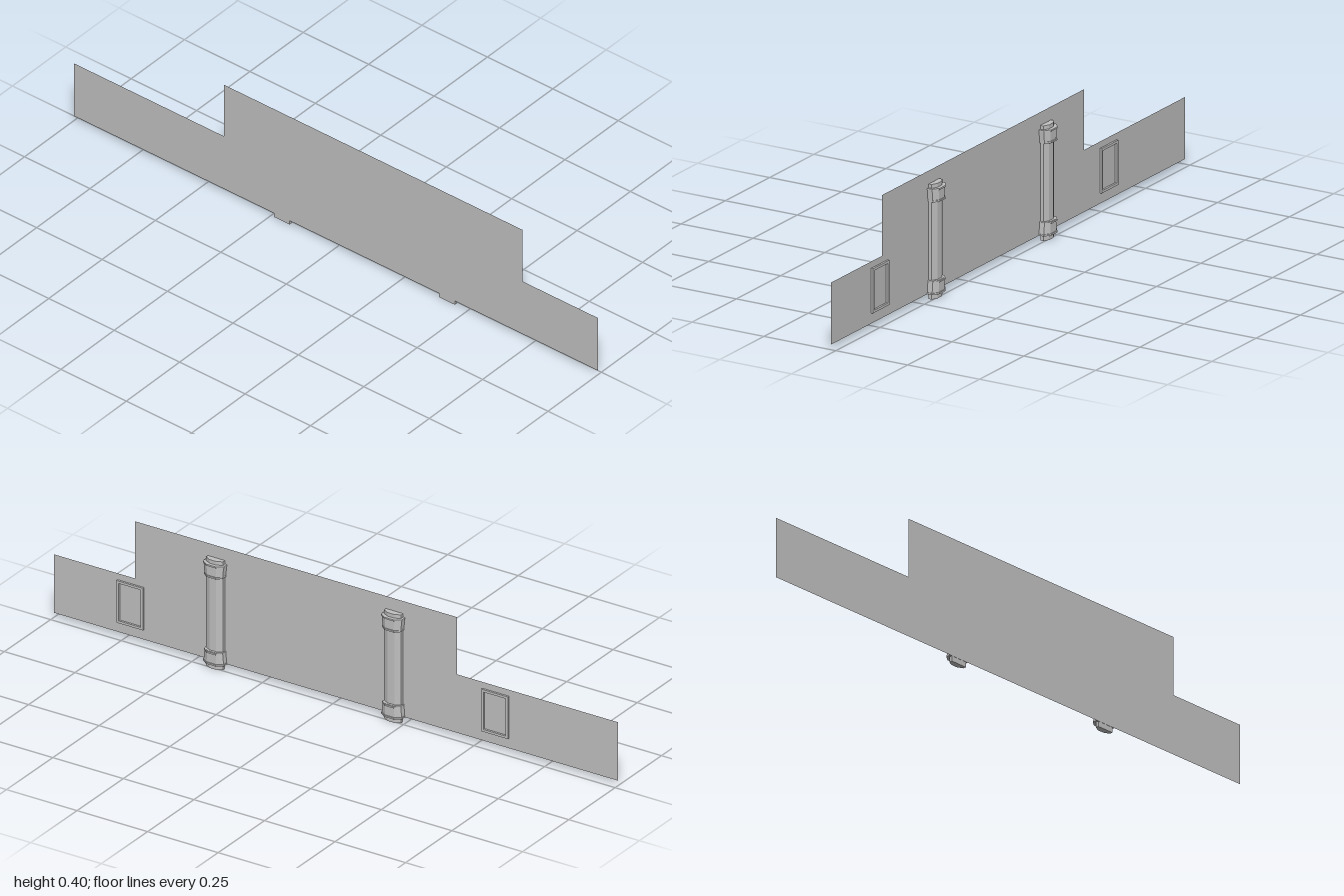
import * as THREE from 'three';

export function createModel() {
  const model = new THREE.Group();
  const grey = new THREE.MeshStandardMaterial({ color: 0xc0c0c0, side: THREE.DoubleSide });
  grey.name = 'plain grey';

  const add = (parent, name, geometry) => {
    const mesh = new THREE.Mesh(geometry, grey);
    mesh.name = name;
    parent.add(mesh);
    return mesh;
  };

  // Stepped facade sheet
  const outline = new THREE.Shape([
    [-1, 0.016], [1, 0.016], [1, 0.21], [0.712, 0.21],
    [0.712, 0.4], [-0.428, 0.4], [-0.428, 0.21], [-1, 0.21],
  ].map(([x, y]) => new THREE.Vector2(x, y)));
  add(model, 'wallSheet', new THREE.ShapeGeometry(outline).translate(0, 0, 0.0168));

  // Half-polygon prism standing upright: w half width, side/back are z depths
  const prism = (w, flat, front, side, back, y0, y1) => {
    const half = [[w, front], [w, side], [flat, back]];
    const points = [...half, ...half.map(([x, z]) => [-x, z]).reverse()];
    const shape = new THREE.Shape(points.map(([x, z]) => new THREE.Vector2(x, -z)));
    return new THREE.ExtrudeGeometry(shape, { depth: y1 - y0, bevelEnabled: false })
      .rotateX(-Math.PI / 2).translate(0, y0, 0);
  };

  // Pilasters: shaft with mirrored flared caps, each with two lips
  for (const x of [-0.209, 0.422]) {
    const pilaster = new THREE.Group();
    pilaster.name = 'pilaster';
    pilaster.position.x = x;
    add(pilaster, 'shaft', prism(0.03, 0.012, 0.0145, 0.004, -0.005, 0, 0.36));
    for (const top of [true, false]) {
      const cap = new THREE.Group();
      cap.name = top ? 'capital' : 'base';
      const span = (a, b) => (top ? [a, b] : [0.365 - b, 0.365 - a]);
      // Core widens towards the outer end of the shaft
      const core = prism(0.033, 0.016, 0.0158, -0.001, -0.0125, ...span(0.305, 0.348));
      const p = core.attributes.position;
      for (let i = 0; i < p.count; i++) {
        const outer = top ? p.getY(i) > 0.33 : p.getY(i) < 0.03;
        p.setX(i, p.getX(i) * (outer ? 1.08 : 0.97));
      }
      core.computeVertexNormals();
      add(cap, 'capCore', core);
      add(cap, 'outerLip', prism(0.037, 0.017, 0.0155, -0.002, -0.016, ...span(0.343, 0.348)));
      add(cap, 'innerLip', prism(0.033, 0.016, 0.0155, -0.002, -0.016, ...span(0.306, 0.311)));
      pilaster.add(cap);
    }
    model.add(pilaster);
  }

  // Window frames on the back of the sheet
  for (const x of [-0.566, 0.727]) {
    const rect = (C, w, h) => new C([[-w, -h], [w, -h], [w, h], [-w, h]]
      .map(([a, b]) => new THREE.Vector2(a, b)));
    const frame = rect(THREE.Shape, 0.047, 0.07);
    frame.holes.push(rect(THREE.Path, 0.039, 0.062));
    const geometry = new THREE.ExtrudeGeometry(frame, { depth: 0.0065, bevelEnabled: false });
    add(model, 'windowFrame', geometry).position.set(x, 0.119, 0.0102);
  }
  return model;
}
